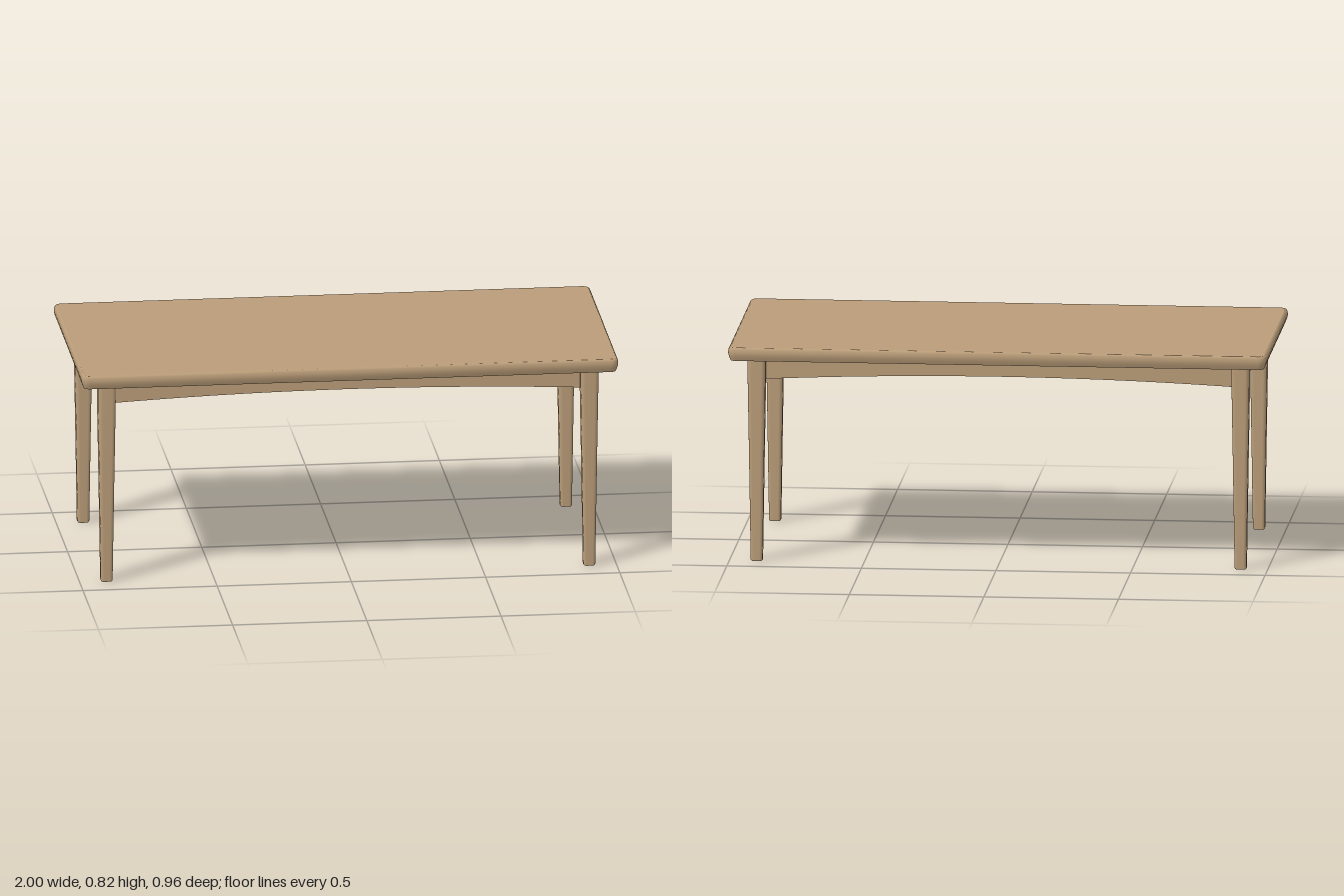
import * as THREE from 'three';
import { RoundedBoxGeometry } from 'three/addons/geometries/RoundedBoxGeometry.js';

const wood = new THREE.MeshStandardMaterial({ color: 0xb99c78 });

function part(name, geometry, x = 0, y = 0, z = 0) {
  const mesh = new THREE.Mesh(geometry, wood);
  mesh.name = name;
  mesh.position.set(x, y, z);
  return mesh;
}

// Outline of a rounded rectangle in the xz plane
function outline(halfX, halfZ, radius, y, steps = 5) {
  const points = [];
  for (let c = 0; c < 4; c++) {
    const sx = c === 0 || c === 3 ? 1 : -1;
    const sz = c < 2 ? 1 : -1;
    for (let i = 0; i <= steps; i++) {
      const a = (c + i / steps) * Math.PI / 2;
      points.push([
        sx * (halfX - radius) + radius * Math.cos(a), y,
        sz * (halfZ - radius) + radius * Math.sin(a),
      ]);
    }
  }
  return points;
}

// Smooth skin through rounded-rectangle rings [halfX, halfZ, radius, y], with flat caps
function loft(rings) {
  const loops = rings.map((r) => outline(...r));
  const n = loops[0].length;
  const positions = loops.flat(2);
  const index = [];
  for (let k = 0; k < loops.length - 1; k++) {
    for (let i = 0; i < n; i++) {
      const a = k * n + i, b = k * n + (i + 1) % n;
      index.push(a, a + n, b, b, a + n, b + n);
    }
  }
  for (const top of [false, true]) {
    const loop = top ? loops[loops.length - 1] : loops[0];
    const centre = positions.length / 3;
    positions.push(0, loop[0][1], 0, ...loop.flat());
    for (let i = 0; i < n; i++) {
      const a = centre + 1 + i, b = centre + 1 + (i + 1) % n;
      index.push(centre, ...(top ? [b, a] : [a, b]));
    }
  }
  const geometry = new THREE.BufferGeometry();
  geometry.setAttribute('position', new THREE.Float32BufferAttribute(positions, 3));
  geometry.setIndex(index);
  geometry.computeVertexNormals();
  return geometry;
}

export function createModel() {
  const table = new THREE.Group();
  table.name = 'diningTable';

  // Top with a softly rounded edge, drawn in towards the underside
  const edge = [[0.009, 0.768], [0.004, 0.78], [0.001, 0.79], [0, 0.8], [0.002, 0.81], [0.005, 0.815], [0.01, 0.818]];
  table.add(part('tableTop', loft(edge.map(([inset, y]) => [1 - inset, 0.478 - inset, 0.03 - inset, y]))));

  // Tapered legs with rounded corners
  const leg = loft([
    [0.019, 0.019, 0.009, 0],
    [0.022, 0.022, 0.011, 0.004],
    [0.028, 0.028, 0.013, 0.4],
    [0.033, 0.033, 0.015, 0.7],
    [0.033, 0.033, 0.015, 0.77],
  ]);
  for (const sx of [1, -1]) {
    for (const sz of [1, -1]) table.add(part('leg', leg, sx * 0.899, 0, sz * 0.379));
  }

  // Long aprons with an arched lower edge
  const thickness = 0.027;
  const arch = new THREE.Shape();
  arch.moveTo(-0.88, 0.683);
  arch.quadraticCurveTo(0, 0.731, 0.88, 0.683);
  arch.lineTo(0.88, 0.77);
  arch.lineTo(-0.88, 0.77);
  arch.closePath();
  const longApron = new THREE.ExtrudeGeometry(arch, { depth: thickness, bevelEnabled: false, curveSegments: 24 });
  longApron.translate(0, 0, -thickness / 2);
  for (const s of [1, -1]) table.add(part('longApron', longApron, 0, 0, s * 0.361));

  // Straight end aprons
  const endApron = new THREE.BoxGeometry(thickness, 0.088, 0.72);
  for (const s of [1, -1]) table.add(part('endApron', endApron, s * 0.881, 0.726, 0));

  // Drawer front and knob on the left end
  const drawer = new THREE.Group();
  drawer.name = 'drawer';
  drawer.position.set(0.895, 0.725, 0);
  drawer.add(part('drawerFront', new RoundedBoxGeometry(0.018, 0.06, 0.436, 3, 0.005)));
  const knobProfile = [[0, 0], [0.007, 0], [0.006, 0.009], [0.012, 0.013], [0.014, 0.018], [0.011, 0.023], [0, 0.025]]
    .map(([r, h]) => new THREE.Vector2(r, h));
  const knob = part('drawerKnob', new THREE.LatheGeometry(knobProfile, 24), 0.008, 0, 0);
  knob.rotation.z = -Math.PI / 2;
  drawer.add(knob);
  table.add(drawer);

  return table;
}
